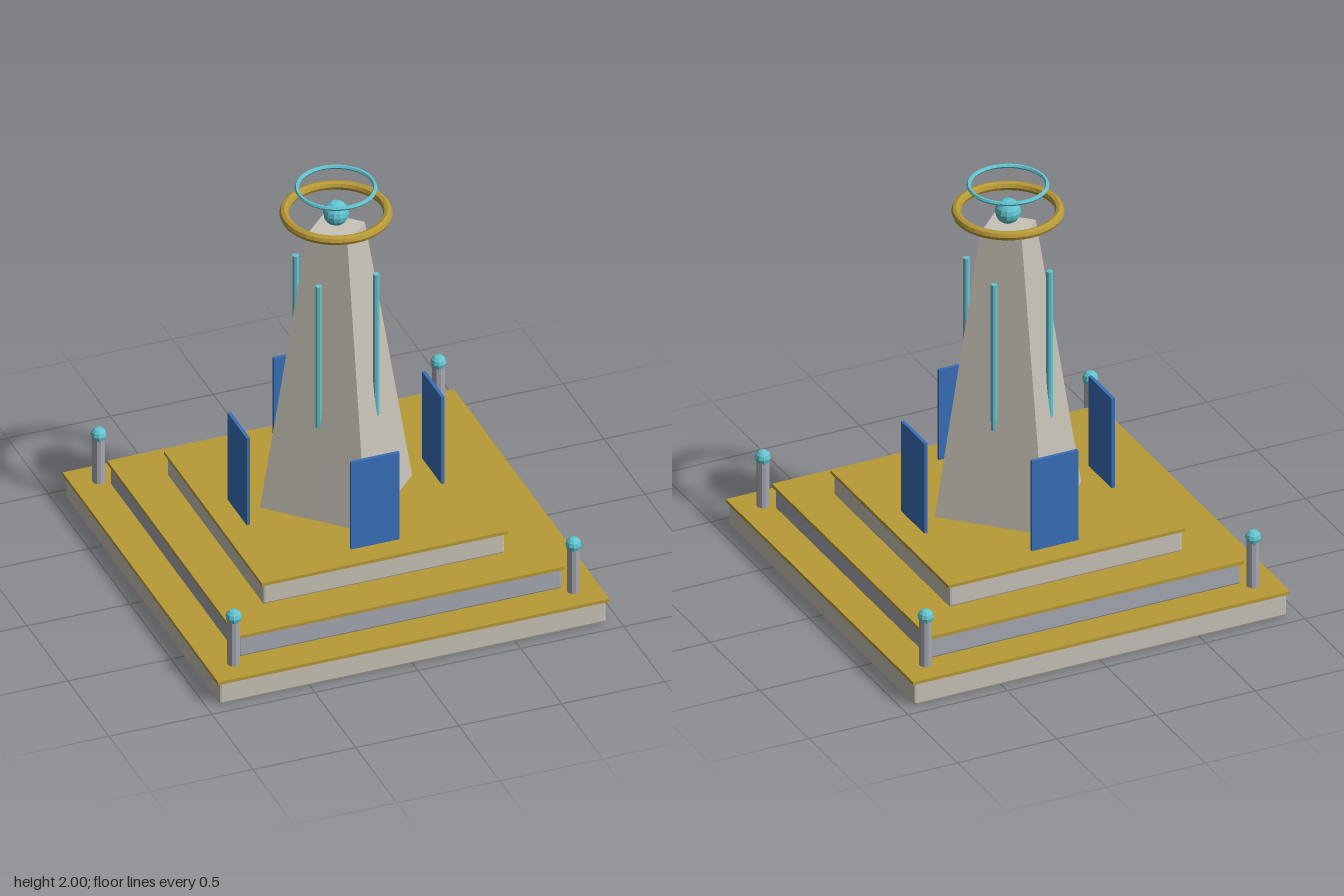
import * as THREE from 'three';
import { RoundedBoxGeometry } from 'three/addons/geometries/RoundedBoxGeometry.js';

export function createModel() {
  const model = new THREE.Group();
  model.name = 'monument';

  const material = (name, color) => {
    const m = new THREE.MeshStandardMaterial({ color, flatShading: true });
    m.name = name;
    return m;
  };
  const stone = material('pale stone', 0xc8c3b7);
  const slate = material('grey stone', 0xa6a9b1);
  const gold = material('gold', 0xb89a36);
  const teal = material('teal crystal', 0x62c6d2);
  const blue = material('blue panel', 0x386fba);

  const add = (name, geometry, mat, x, y, z) => {
    const mesh = new THREE.Mesh(geometry, mat);
    mesh.name = name;
    mesh.position.set(x, y, z);
    model.add(mesh);
    return mesh;
  };

  // Stepped base: softly bevelled slabs, each capped by a slightly wider gold trim
  const tiers = [
    { half: 0.94, bottom: 0, top: 0.13, mat: stone },
    { half: 0.785, bottom: 0.125, top: 0.248, mat: slate },
    { half: 0.587, bottom: 0.243, top: 0.367, mat: stone },
  ];
  const trim = 0.016;
  tiers.forEach(({ half, bottom, top, mat }, i) => {
    const height = top - bottom - trim / 2;
    add(`tier${i + 1}`, new RoundedBoxGeometry(half * 2, height, half * 2, 1, 0.012), mat, 0, bottom + height / 2, 0);
    const width = (half + 0.01) * 2;
    add(`tierTrim${i + 1}`, new THREE.BoxGeometry(width, trim, width), gold, 0, top - trim / 2, 0);
  });

  // Four-sided tapering tower with its edges facing the axes
  add('tower', new THREE.CylinderGeometry(0.14, 0.37, 1.41, 4), stone, 0, 1.07, 0);

  // Free-standing panels, one on each side
  for (let i = 0; i < 4; i++) {
    const a = (i * Math.PI) / 2;
    const panel = add('panel', new THREE.BoxGeometry(0.235, 0.466, 0.016), blue,
      Math.sin(a) * 0.472, 0.597, Math.cos(a) * 0.472);
    panel.rotation.y = a;
  }

  // Light rods on the tower faces, and corner posts with round caps
  for (const sx of [-1, 1]) {
    for (const sz of [-1, 1]) {
      add('lightRod', new THREE.CylinderGeometry(0.016, 0.016, 0.75, 8), teal, sx * 0.14, 1.205, sz * 0.14);
      add('cornerPost', new THREE.CylinderGeometry(0.03, 0.03, 0.25, 10), slate, sx * 0.825, 0.25, sz * 0.825);
      add('postCap', new THREE.SphereGeometry(0.037, 10, 6), teal, sx * 0.825, 0.378, sz * 0.825);
    }
  }

  // Floating orb and the two rings around and above it
  add('orb', new THREE.SphereGeometry(0.06, 12, 8), teal, 0, 1.857, 0);
  add('goldRing', new THREE.TorusGeometry(0.234, 0.022, 8, 40), gold, 0, 1.857, 0).rotation.x = Math.PI / 2;
  add('tealRing', new THREE.TorusGeometry(0.177, 0.01, 6, 40), teal, 0, 1.99, 0).rotation.x = Math.PI / 2;

  return model;
}
